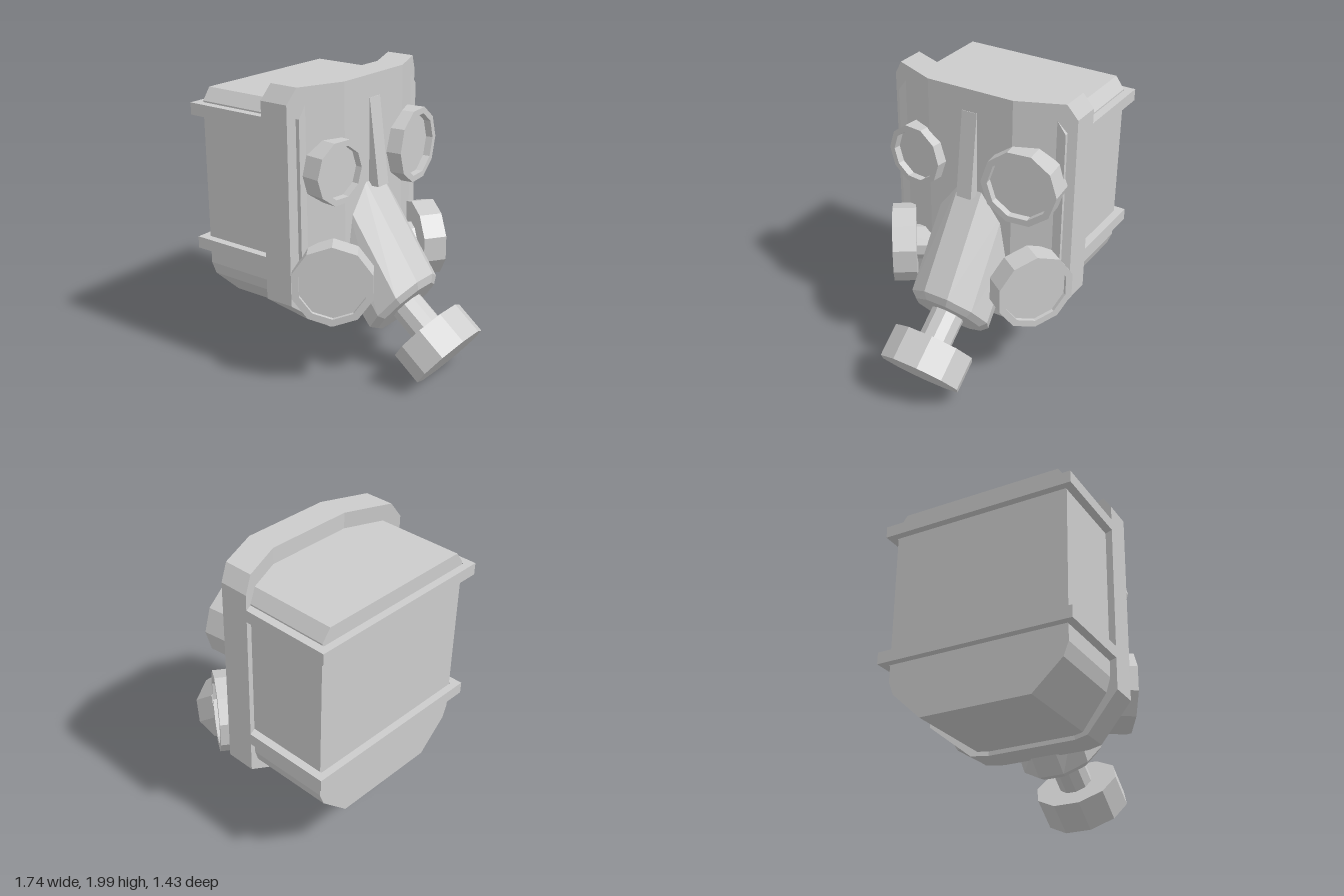
import * as THREE from 'three';

const mat = new THREE.MeshStandardMaterial({ color: 0xcccccc, flatShading: true });
const V = (x, y, z = 0) => new THREE.Vector3(x, y, z);

export function createModel() {
  const group = new THREE.Group();

  const add = (name, geometry) => {
    const mesh = new THREE.Mesh(geometry, mat);
    mesh.name = name;
    group.add(mesh);
    return mesh;
  };

  const box = (name, x0, x1, y0, y1, z0, z1) =>
    add(name, new THREE.BoxGeometry(x1 - x0, y1 - y0, z1 - z0))
      .position.set((x0 + x1) / 2, (y0 + y1) / 2, (z0 + z1) / 2);

  // Points a mesh's y axis along dir, with its z axis along up
  const orient = (mesh, pos, dir, up) => {
    const basis = new THREE.Matrix4().makeBasis(dir.clone().cross(up), dir, up);
    mesh.quaternion.setFromRotationMatrix(basis);
    mesh.position.copy(pos);
  };

  // Moves each vertex of a geometry by a rule
  const reshape = (geometry, rule) => {
    const p = geometry.attributes.position;
    for (let i = 0; i < p.count; i++) {
      const v = rule(p.getX(i), p.getY(i), p.getZ(i));
      p.setXYZ(i, v.x, v.y, v.z);
    }
    geometry.computeVertexNormals();
    return geometry;
  };

  // Ten-sided cup: outer wall, rim and recessed disc
  const cup = (R, inner, depth, recess) => new THREE.LatheGeometry([
    [0, 0], [R, 0], [R, depth], [inner, depth], [inner, depth - recess], [0, depth - recess],
  ].map(([x, y]) => new THREE.Vector2(x, y)), 10);

  // Head block: chamfered section extruded from back to front
  const half = [[0.38, 0.41], [0.585, 0.6], [0.62, 0.69], [0.62, 1.81], [0.56, 1.89]];
  const section = [...half, ...half.map(([z, y]) => [-z, y]).reverse()];
  const headShape = new THREE.Shape(section.map(([z, y]) => new THREE.Vector2(z, y)));
  const head = add('head', new THREE.ExtrudeGeometry(headShape, { depth: 0.8, bevelEnabled: false })
    .rotateY(-Math.PI / 2));
  head.position.x = -0.01;

  // Face plate: box bent back at both sides, with clipped corners
  const levels = [0.38, 0.59, 1.9, 2.0];
  const widths = [0.42, 0.675, 0.675, 0.61];
  add('facePlate', reshape(new THREE.BoxGeometry(1, 3, 3, 1, 3, 3), (x, y, z) => {
    const k = Math.round(y + 1.5);
    const w = Math.abs(z) > 1 ? widths[k] : 0.31;
    return V((x > 0 ? 0.095 : -0.11) - (w - 0.31) * 0.42, levels[k], Math.sign(z) * w);
  }));

  // Straps around the back of the head
  for (const y of [0.8, 1.72]) {
    box('strapBack', -0.87, -0.82, y, y + 0.08, -0.675, 0.675);
    for (const s of [-1, 1]) {
      const [z0, z1] = s > 0 ? [0.62, 0.675] : [-0.675, -0.62];
      box('strapSide', -0.82, -0.2, y, y + 0.08, z0, z1);
    }
  }

  // Nose ridge wedge
  const ridge = new THREE.Shape([[0.05, 1.27], [0.17, 1.27], [0.098, 1.85], [0.05, 1.85]]
    .map(([x, y]) => new THREE.Vector2(x, y)));
  add('noseRidge', new THREE.ExtrudeGeometry(ridge, { depth: 0.11, bevelEnabled: false }))
    .position.z = -0.055;

  // Snout: ten-sided tube with a tall base, slanting to a chamfered end
  const axis = V(0.785, -0.62).normalize();
  const tilt = V(-axis.y, axis.x);
  const rings = [
    { c: V(0.05, 0.88), up: V(0, 0.51), r: 0.285 },
    { c: V(0.34, 0.49), up: tilt.clone().multiplyScalar(0.284), r: 0.29 },
    { c: V(0.365, 0.46), up: tilt.clone().multiplyScalar(0.242), r: 0.245 },
  ];
  add('snout', reshape(new THREE.CylinderGeometry(1, 1, 2, 10, 2).rotateY(Math.PI / 10), (x, y, z) => {
    const ring = rings[Math.round(y + 1)];
    return ring.c.clone().addScaledVector(ring.up, z).add(V(0, 0, x * ring.r));
  }));

  // Mouth canister on a short neck
  const canisterBack = V(0.537, 0.337);
  const neck = add('canisterNeck', new THREE.CylinderGeometry(0.115, 0.115, 0.3, 10).rotateY(Math.PI / 10));
  orient(neck, canisterBack.clone().addScaledVector(axis, -0.12), axis, tilt);
  const canister = add('canister', new THREE.CylinderGeometry(0.297, 0.297, 0.228, 10)
    .rotateY(Math.PI / 10).scale(1, 1, 0.86));
  orient(canister, canisterBack.clone().addScaledVector(axis, 0.114), axis, tilt);

  const up = V(0, 1);
  for (const s of [-1, 1]) {
    // Eyepieces: the one on the -z side is larger
    const [R, inner, x, depth] = s > 0 ? [0.212, 0.172, 0.147, 0.17] : [0.257, 0.213, 0.17, 0.19];
    const eyeDir = V(0.99, 0, 0.12 * s).normalize();
    const eye = add('eyepiece', cup(R, inner, depth, 0.05).rotateY(Math.PI / 10));
    orient(eye, V(x, 1.45, 0.402 * s).addScaledVector(eyeDir, -depth), eyeDir, up);

    // Cheek filters with connecting pipes
    const dir = V(0.575, 0, 0.819 * s).normalize();
    const face = V(0.19, 0.75, 0.568 * s);
    const filter = add('cheekFilter', cup(0.27, 0.222, 0.16, 0.025));
    orient(filter, face.clone().addScaledVector(dir, -0.16), dir, up);
    const pipe = add('filterPipe', new THREE.CylinderGeometry(0.12, 0.12, 0.3, 10));
    orient(pipe, face.clone().addScaledVector(dir, -0.25), dir, up);
  }

  return group;
}
